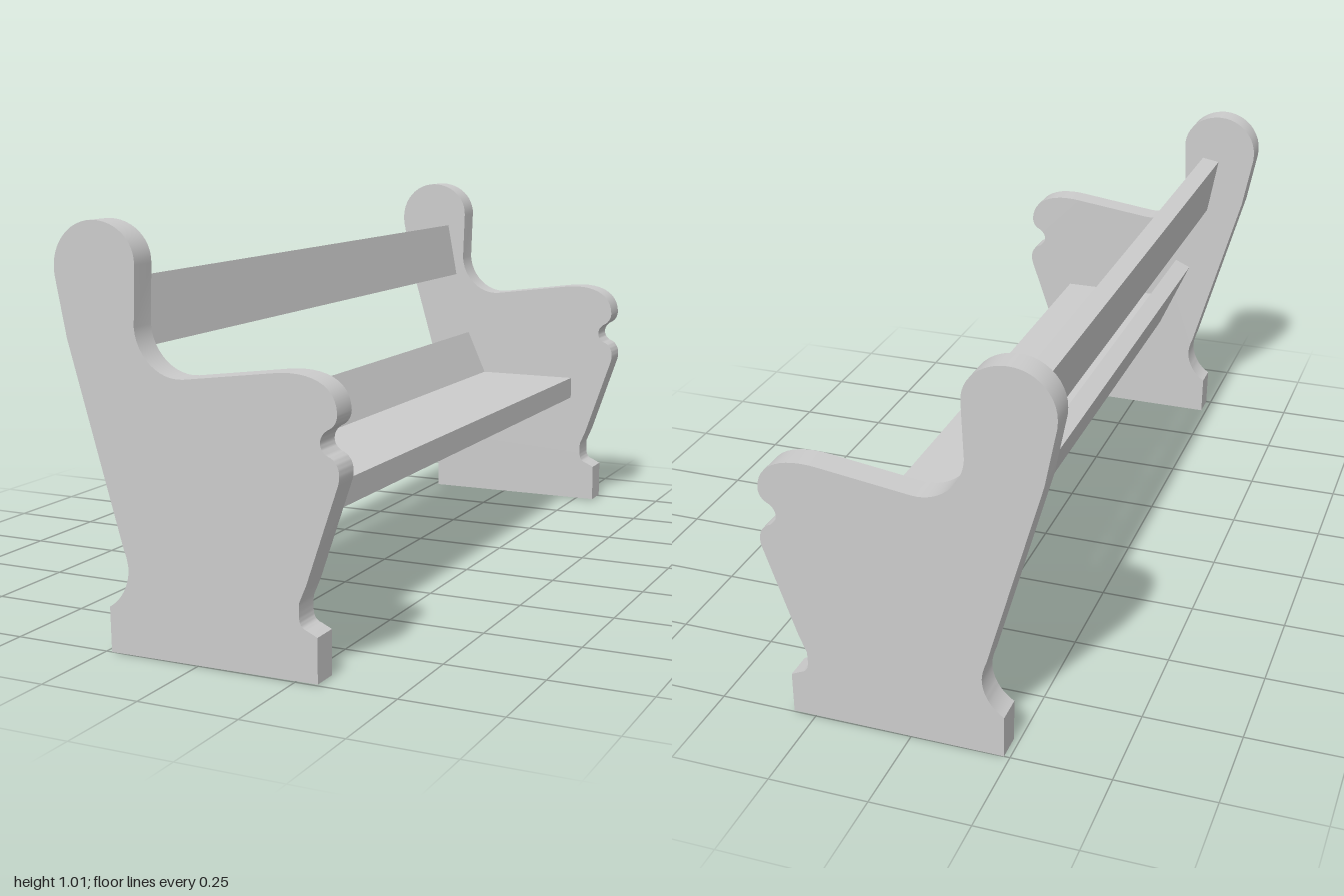
import * as THREE from 'three';
import { toCreasedNormals } from 'three/addons/utils/BufferGeometryUtils.js';

const HALF = 1;          // half length of the bench
const PANEL = 0.07;      // thickness of the end panels

const material = new THREE.MeshStandardMaterial({ color: 0xcccccc });

// Extrude an x-y profile along z, starting at z = z0
function extrude(name, shape, z0, depth) {
  const solid = new THREE.ExtrudeGeometry(shape, { depth, bevelEnabled: false, curveSegments: 12 });
  const mesh = new THREE.Mesh(toCreasedNormals(solid, 0.5), material);
  mesh.position.z = z0;
  mesh.name = name;
  return mesh;
}

// Scrolled outline of an end panel, clockwise from the rear foot
function panelShape() {
  const s = new THREE.Shape();
  s.moveTo(-0.235, 0);
  s.lineTo(-0.237, 0.11);
  s.bezierCurveTo(-0.203, 0.13, -0.183, 0.168, -0.183, 0.205);  // rear foot hollow
  s.quadraticCurveTo(-0.184, 0.226, -0.195, 0.253);
  s.lineTo(-0.335, 0.735);                                      // sloping back edge
  s.lineTo(-0.364, 0.88);
  s.bezierCurveTo(-0.374, 0.952, -0.32, 1.008, -0.255, 1.008);  // rounded head
  s.bezierCurveTo(-0.195, 1.008, -0.145, 0.965, -0.147, 0.91);
  s.lineTo(-0.152, 0.77);
  s.bezierCurveTo(-0.148, 0.705, -0.09, 0.652, -0.025, 0.66);   // hollow above the arm
  s.lineTo(0.2, 0.69);
  s.bezierCurveTo(0.29, 0.703, 0.357, 0.677, 0.358, 0.61);      // arm scroll
  s.quadraticCurveTo(0.356, 0.585, 0.334, 0.575);
  s.bezierCurveTo(0.31, 0.56, 0.31, 0.53, 0.335, 0.518);        // notch
  s.bezierCurveTo(0.36, 0.51, 0.368, 0.48, 0.358, 0.453);       // lower scroll
  s.lineTo(0.28, 0.225);
  s.lineTo(0.262, 0.183);
  s.bezierCurveTo(0.26, 0.145, 0.26, 0.128, 0.281, 0.122);      // front foot hollow
  s.lineTo(0.307, 0.11);
  s.lineTo(0.307, 0.003);
  s.closePath();
  return s;
}

// Cross-sections of the boards that span between the panels
const boards = {
  backrest: [[-0.205, 0.875], [-0.255, 0.866], [-0.225, 0.705], [-0.175, 0.715]],
  lowerBackBoard: [[-0.13, 0.525], [-0.175, 0.505], [-0.083, 0.3], [-0.038, 0.32]],
  seat: [[0.228, 0.396], [-0.073, 0.396], [-0.044, 0.332], [0.228, 0.332]],
};

export function createModel() {
  const bench = new THREE.Group();
  bench.name = 'bench';

  const outline = panelShape();
  bench.add(extrude('leftEndPanel', outline, HALF - PANEL, PANEL));
  bench.add(extrude('rightEndPanel', outline, -HALF, PANEL));

  const inner = HALF - PANEL;
  for (const [name, corners] of Object.entries(boards)) {
    const section = new THREE.Shape(corners.map(([x, y]) => new THREE.Vector2(x, y)));
    bench.add(extrude(name, section, -inner, 2 * inner));
  }
  return bench;
}
